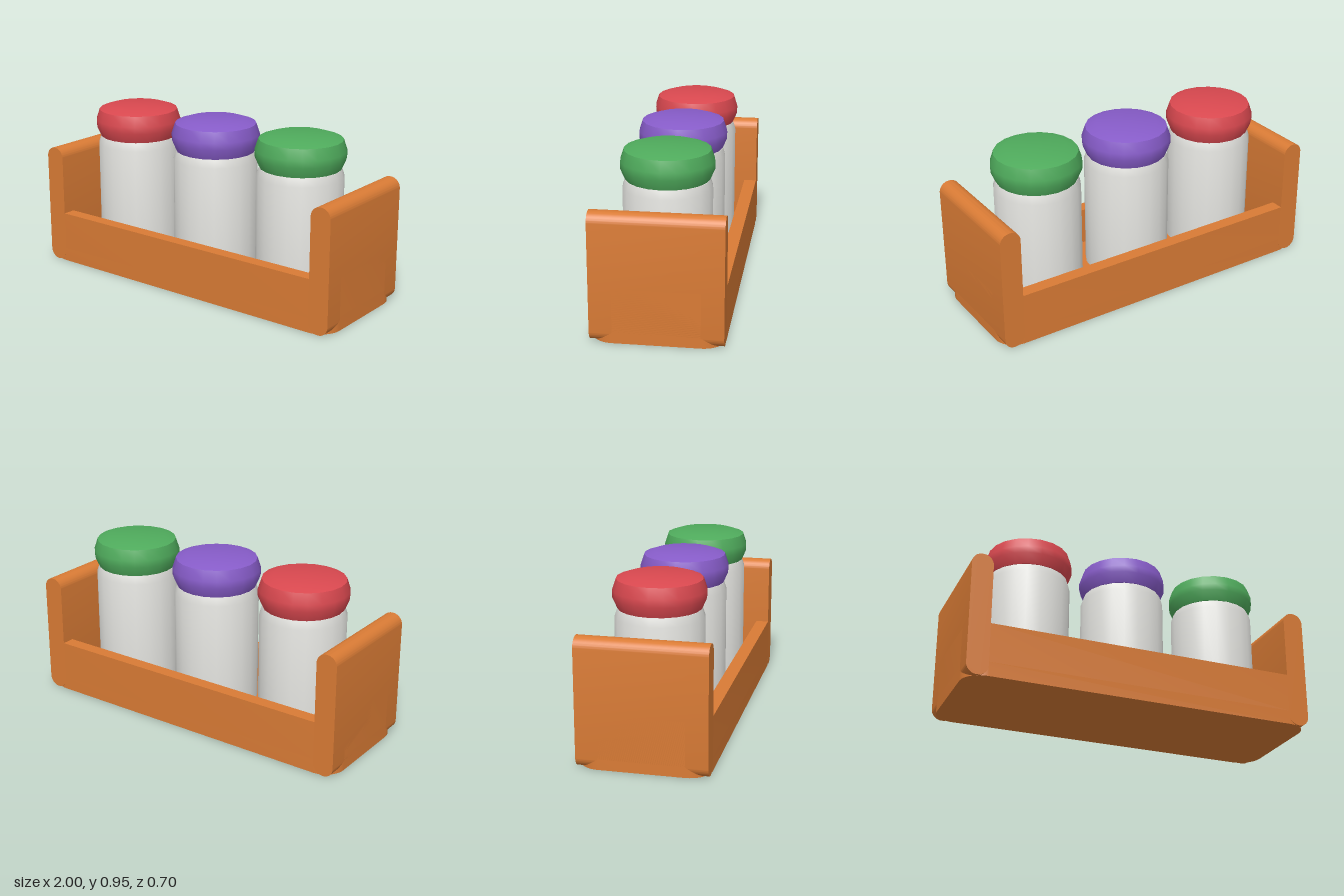
import * as THREE from 'three';
import { toCreasedNormals } from 'three/addons/utils/BufferGeometryUtils.js';

const flat = (name, color) => {
  const m = new THREE.MeshStandardMaterial({ color });
  m.name = name;
  return m;
};

// Rectangle with rounded corners, centred on the origin
function roundedRect(w, h, r) {
  const x = w / 2, y = h / 2, s = new THREE.Shape();
  s.absarc(x - r, y - r, r, 0, Math.PI / 2);
  s.absarc(-x + r, y - r, r, Math.PI / 2, Math.PI);
  s.absarc(-x + r, -y + r, r, Math.PI, Math.PI * 1.5);
  s.absarc(x - r, -y + r, r, Math.PI * 1.5, Math.PI * 2);
  s.closePath();
  return s;
}

const extrude = (shape, depth) => toCreasedNormals(
  new THREE.ExtrudeGeometry(shape, { depth, bevelEnabled: false, curveSegments: 8 }), 0.7);

const lathe = (points) => toCreasedNormals(
  new THREE.LatheGeometry(points.map(([r, y]) => new THREE.Vector2(r, y)), 20), 0.7);

export function createModel() {
  const wood = flat('wood', 0xd97b35);
  const glass = flat('jar white', 0xe0e0dc);
  const lids = [flat('red', 0xd9484f), flat('purple', 0x875cc9), flat('green', 0x4fab5c)];

  const model = new THREE.Group();
  model.name = 'jarRack';
  const add = (name, geometry, material, parent = model) => {
    const mesh = new THREE.Mesh(geometry, material);
    mesh.name = name;
    parent.add(mesh);
    return mesh;
  };

  // Tray: rounded floor with a rim running around an open middle
  const floorY = 0.08;
  const floor = extrude(roundedRect(2, 0.7, 0.12), floorY).rotateX(-Math.PI / 2);
  add('trayFloor', floor, wood);
  const rim = roundedRect(2, 0.7, 0.12);
  rim.holes.push(new THREE.Path([
    new THREE.Vector2(-0.9, -0.275), new THREE.Vector2(-0.9, 0.275),
    new THREE.Vector2(0.9, 0.275), new THREE.Vector2(0.9, -0.275),
  ]));
  add('trayRim', extrude(rim, 0.3 - floorY).rotateX(-Math.PI / 2), wood).position.y = floorY;

  // End panels with rounded top and bottom edges
  const panel = extrude(roundedRect(0.12, 0.7, 0.058), 0.7).translate(0, 0.35, -0.35);
  for (const side of [-1, 1]) {
    add(side > 0 ? 'leftPanel' : 'rightPanel', panel, wood).position.x = side * 0.94;
  }

  // Three jars with bulging lids
  const body = lathe([[0, floorY], [0.24, floorY], [0.24, 0.725], [0.225, 0.77], [0, 0.77]]);
  const lid = lathe([[0, 0.772], [0.225, 0.772], [0.25, 0.83], [0.25, 0.87],
    [0.23, 0.93], [0.17, 0.95], [0, 0.95]]);
  lids.forEach((material, i) => {
    const jar = new THREE.Group();
    jar.name = `${material.name}Jar`;
    jar.position.x = (i - 1) * 0.58;
    add('jarBody', body, glass, jar);
    add('jarLid', lid, material, jar);
    model.add(jar);
  });

  return model;
}
